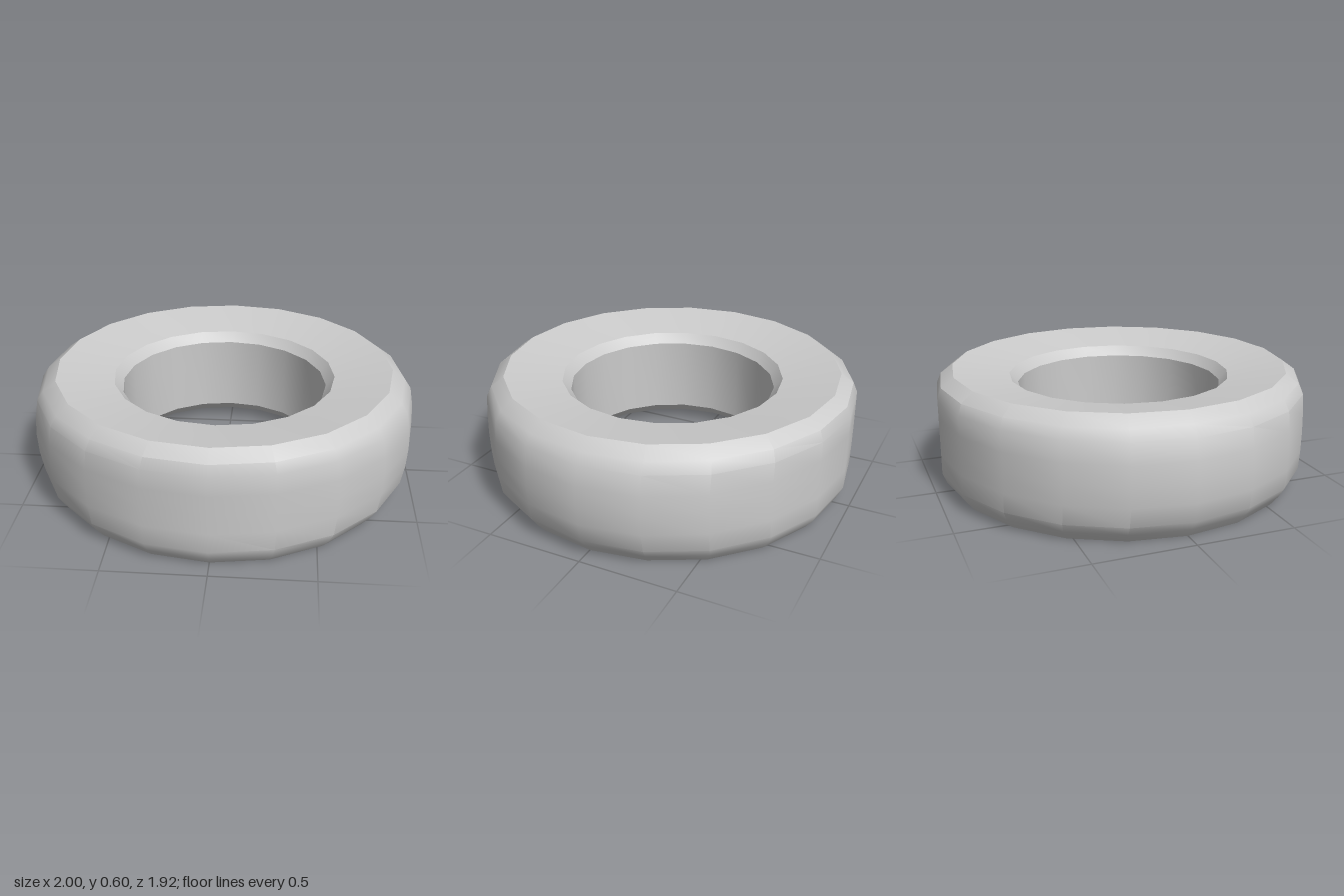
import * as THREE from 'three';
import { toCreasedNormals } from 'three/addons/utils/BufferGeometryUtils.js';

export function createModel() {
  const group = new THREE.Group();
  group.name = 'ring';

  // Closed cross-section [radius, height]: up the outside, in over the top, down the hole, out underneath
  const profile = [
    [0.9, 0], [0.94, 0.05], [0.961, 0.1], [0.961, 0.2], [0.961, 0.3], [0.961, 0.4], [0.961, 0.5],
    [0.94, 0.552], [0.875, 0.6],
    [0.578, 0.55], [0.535, 0.5],
    [0.535, 0.1], [0.578, 0.05], [0.9, 0],
  ].map(([r, y]) => new THREE.Vector2(r, y));
  const lathe = new THREE.LatheGeometry(profile, 20);

  // The outer wall bulges slightly towards both sides (x only)
  const pos = lathe.attributes.position;
  for (let i = 0; i < pos.count; i++) {
    const x = pos.getX(i), y = pos.getY(i), z = pos.getZ(i);
    if (Math.hypot(x, z) < 0.93) continue;
    const t = (y - 0.3) / 0.25;
    pos.setX(i, x * (1 + 0.0406 * Math.max(0, 1 - t * t)));
  }

  // Smooth around the ring, sharp between the bevel bands
  const body = new THREE.Mesh(
    toCreasedNormals(lathe, THREE.MathUtils.degToRad(30)),
    new THREE.MeshStandardMaterial({ color: 0xcccccc })
  );
  body.name = 'ringBody';
  group.add(body);
  return group;
}
